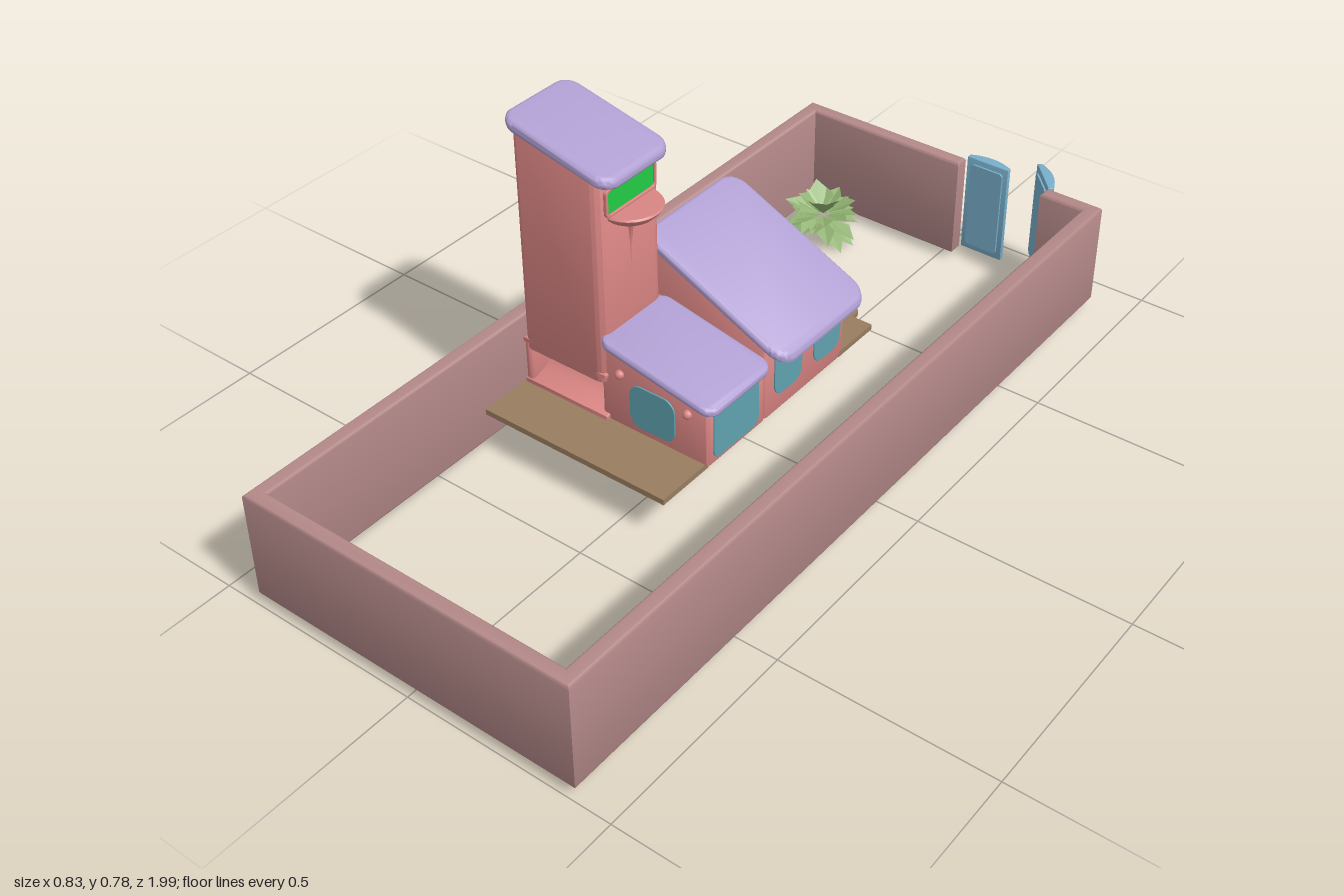
import * as THREE from 'three';
import { toCreasedNormals } from 'three/addons/utils/BufferGeometryUtils.js';

const mat = (name, color, side = THREE.FrontSide) => {
  const m = new THREE.MeshStandardMaterial({ color, side });
  m.name = name;
  return m;
};

export function createModel() {
  const group = new THREE.Group();
  const pink = mat('pink plaster', 0xd98583);
  const brick = mat('dusty wall', 0xb38888);
  const purple = mat('purple roof', 0xb09fd2);
  const blue = mat('blue gate', 0x78aeca);
  const glass = mat('teal glass', 0x5fa3b0);
  const green = mat('green screen', 0x22cc44);
  const wood = mat('wood deck', 0x987d60);
  const leaf = mat('leaf', 0x93b575, THREE.DoubleSide);

  const add = (name, geo, material, x = 0, y = 0, z = 0, ry = 0) => {
    const m = new THREE.Mesh(geo, material);
    m.name = name;
    m.position.set(x, y, z);
    m.rotation.y = ry;
    group.add(m);
    return m;
  };

  const roundRect = (x0, x1, y0, y1, r) => {
    const s = new THREE.Shape();
    s.moveTo(x0 + r, y0);
    s.lineTo(x1 - r, y0);
    s.absarc(x1 - r, y0 + r, r, -Math.PI / 2, 0);
    s.lineTo(x1, y1 - r);
    s.absarc(x1 - r, y1 - r, r, 0, Math.PI / 2);
    s.lineTo(x0 + r, y1);
    s.absarc(x0 + r, y1 - r, r, Math.PI / 2, Math.PI);
    s.lineTo(x0, y0 + r);
    s.absarc(x0 + r, y0 + r, r, Math.PI, Math.PI * 1.5);
    return s;
  };

  // Extrusion with a soft bevel that stays inside the outline
  const extrude = (shape, h, b) => {
    const g = new THREE.ExtrudeGeometry(shape, {
      depth: h - 2 * b, bevelEnabled: b > 0, bevelSize: b, bevelThickness: b,
      bevelOffset: -b, bevelSegments: 3, curveSegments: 8,
    });
    return g.translate(0, 0, b);
  };
  // Plan outlines use (x, -z) and rise along y
  const upright = (shape, y0, y1, b) => extrude(shape, y1 - y0, b).rotateX(-Math.PI / 2).translate(0, y0, 0);
  // Side profiles use (z, y) and run along x
  const sideways = (shape, x0, x1, b) => toCreasedNormals(
    extrude(shape, x1 - x0, b).rotateY(-Math.PI / 2).translate(x1, 0, 0), 0.7);

  // Rounded block; vertices above "from" follow a slope along x, starting at x0
  const block = (x0, x1, z0, z1, y0, y1, r, b, slope = 0, from = -1) => {
    const g = upright(roundRect(x0, x1, -z1, -z0, r), y0, y1, b);
    const p = g.attributes.position;
    for (let i = 0; i < p.count; i++) {
      if (p.getY(i) > from) p.setY(i, p.getY(i) + slope * (p.getX(i) - x0));
    }
    return toCreasedNormals(g, 0.7);
  };

  // Perimeter wall with a gateway at the back
  const wall = new THREE.Shape([
    [0.04, -0.905], [-0.415, -0.905], [-0.415, 0.992], [0.411, 0.992], [0.411, -0.905], [0.265, -0.905],
    [0.265, -0.87], [0.375, -0.87], [0.375, 0.957], [-0.38, 0.957], [-0.38, -0.87], [0.04, -0.87],
  ].map(([x, z]) => new THREE.Vector2(x, -z)));
  add('perimeterWall', toCreasedNormals(upright(wall, 0.02, 0.28, 0.007), 0.7), brick);

  // Gate leaves, bulged outward, with a raised inner panel
  for (const [x, z, ry] of [[0.04, -0.914, 0], [0.192, -0.985, -0.82]]) {
    const s = new THREE.Shape();
    s.moveTo(0, 0);
    s.lineTo(0.112, 0);
    s.lineTo(0.112, 0.012);
    s.quadraticCurveTo(0.056, 0.04, 0, 0.012);
    add('gateLeaf', toCreasedNormals(upright(s, 0.02, 0.28, 0.002), 0.7), blue, x, 0, z, ry);
    const panel = extrude(roundRect(0.012, 0.1, 0.035, 0.265, 0.01), 0.005, 0.001);
    add('gatePanel', panel, blue, x, 0, z, ry);
  }

  // Tower: shaft, notched foot, sloping roof
  add('towerShaft', block(-0.37, -0.138, 0.045, 0.243, 0.21, 0.765, 0.025, 0.002, -0.226, 0.5), pink);
  const foot = new THREE.Shape();
  foot.moveTo(0.045, 0.11);
  foot.lineTo(0.243, 0.11);
  foot.lineTo(0.243, 0.125);
  foot.quadraticCurveTo(0.17, 0.135, 0.165, 0.19);
  foot.quadraticCurveTo(0.17, 0.22, 0.243, 0.225);
  foot.lineTo(0.243, 0.235);
  foot.lineTo(0.045, 0.235);
  add('towerFoot', sideways(foot, -0.37, -0.138, 0.003), pink);
  add('towerFootSide', block(-0.37, -0.35, 0.05, 0.24, 0.11, 0.235, 0.008, 0.003), pink);
  add('towerRoof', block(-0.392, -0.108, 0.036, 0.25, 0.757, 0.785, 0.04, 0.012, -0.226), purple);

  // Rounded ledge flowing out of the tower
  const ledge = [[0.001, 0.46], [0.003, 0.52], [0.007, 0.565], [0.018, 0.583], [0.04, 0.591],
    [0.056, 0.597], [0.068, 0.609], [0.072, 0.616], [0.069, 0.62], [0, 0.62]]
    .map(([r, y]) => new THREE.Vector2(r, y));
  add('towerLedge', toCreasedNormals(new THREE.LatheGeometry(ledge, 24, 0, Math.PI), 0.7), pink, -0.139, 0, 0.145);

  // Rounded link between the tower and the low wing
  const link = new THREE.Shape();
  link.moveTo(0.07, 0.11);
  link.lineTo(-0.1, 0.11);
  link.lineTo(-0.1, 0.34);
  link.quadraticCurveTo(-0.1, 0.42, -0.02, 0.42);
  link.lineTo(0.07, 0.42);
  add('towerLink', sideways(link, -0.37, -0.19, 0.015), pink);

  // Main house
  add('mainHouse', block(-0.18, 0.125, -0.265, 0.035, 0.11, 0.443, 0.012, 0.003, -0.47, 0.28), pink);
  add('mainRoof', block(-0.2, 0.176, -0.282, 0.038, 0.442, 0.468, 0.045, 0.01, -0.47), purple);

  // Front room
  add('frontRoom', block(-0.16, 0.125, 0.03, 0.232, 0.11, 0.322, 0.012, 0.003, -0.2, 0.2), pink);
  add('frontRoof', block(-0.15, 0.15, 0.036, 0.254, 0.315, 0.336, 0.03, 0.008, -0.2), purple);

  // Low wing
  add('lowWing', block(-0.372, -0.185, -0.437, -0.05, 0.11, 0.235, 0.06, 0.01, 0.1, 0.18), pink);
  add('lowWingRoof', block(-0.378, -0.177, -0.452, -0.09, 0.23, 0.25, 0.035, 0.008, 0.1), purple);

  // Decks and step
  add('frontDeck', new THREE.BoxGeometry(0.49, 0.014, 0.15), wood, -0.127, 0.108, 0.296);
  add('backDeck', new THREE.BoxGeometry(0.295, 0.014, 0.13), wood, -0.022, 0.118, -0.312);
  add('backStep', upright(roundRect(-0.02, 0.07, 0.36, 0.415, 0.015), 0.108, 0.121, 0), wood);

  // Thin panes; ry turns them toward their wall
  const pane = (name, w, h, r, x, y, z, ry, material = glass) =>
    add(name, extrude(roundRect(-w / 2, w / 2, -h / 2, h / 2, r), 0.005, 0.001), material, x, y, z, ry);
  const E = Math.PI / 2, N = Math.PI;
  pane('towerScreen', 0.146, 0.054, 0.008, -0.14, 0.653, 0.145, E, green);
  pane('frontSideWindow', 0.155, 0.13, 0.02, 0.123, 0.185, 0.135, E);
  pane('frontWindow', 0.12, 0.11, 0.03, -0.02, 0.185, 0.23, 0);
  pane('mainSideWindow', 0.1, 0.13, 0.03, 0.123, 0.215, -0.05, E);
  pane('mainSideWindow', 0.1, 0.13, 0.03, 0.123, 0.215, -0.195, E);
  pane('roundWindow', 0.056, 0.056, 0.0279, -0.105, 0.345, -0.263, N);
  pane('wingEndWindow', 0.1, 0.045, 0.022, -0.28, 0.2, -0.435, N);
  pane('wingSideWindow', 0.08, 0.05, 0.022, -0.187, 0.2, -0.335, E);
  pane('highSideWindow', 0.13, 0.042, 0.02, -0.178, 0.365, -0.16, -E);
  // Back door in three leaves
  for (const x of [-0.036, -0.002, 0.032]) pane('backDoorLeaf', 0.03, 0.145, 0.004, x, 0.2, -0.263, N, blue);

  // Window frame around the tower screen
  const frame = roundRect(-0.08, 0.08, -0.034, 0.034, 0.012);
  frame.holes.push(roundRect(-0.073, 0.073, -0.027, 0.027, 0.008));
  add('screenFrame', extrude(frame, 0.009, 0.002), pink, -0.14, 0.653, 0.145, E);

  // Wall lamps
  for (const [x, y, z] of [[-0.105, 0.25, 0.235], [0.075, 0.23, 0.235], [-0.085, 0.24, -0.268],
    [0.075, 0.25, -0.268], [-0.135, 0.25, -0.268]]) {
    add('wallLamp', new THREE.SphereGeometry(0.011, 12, 8), pink, x, y, z);
  }

  // Plants: folded blades fanned from a centre
  let seed = 7;
  const rnd = () => (seed = (seed * 16807) % 2147483647) / 2147483647;
  const plant = (name, cx, cy, cz, R, count, minY) => {
    const v = [];
    for (let i = 0; i < count; i++) {
      const a = i * 2.4, tilt = -0.5 + 1.6 * rnd(), len = R * (0.75 + 0.3 * rnd());
      const dir = new THREE.Vector3(Math.cos(a) * Math.cos(tilt), Math.sin(tilt), Math.sin(a) * Math.cos(tilt));
      const side = new THREE.Vector3(-Math.sin(a), 0.4 * (rnd() - 0.5), Math.cos(a)).multiplyScalar(R * 0.22);
      const root = dir.clone().multiplyScalar(len * 0.15);
      const mid = dir.clone().multiplyScalar(len * 0.65);
      const tip = dir.clone().multiplyScalar(len);
      tip.y -= R * 0.12;
      const l = mid.clone().add(side), r = mid.clone().sub(side);
      for (const q of [root, l, tip, root, tip, r]) {
        v.push(THREE.MathUtils.clamp(cx + q.x, -0.376, 1), Math.max(minY, cy + q.y), Math.max(-0.866, cz + q.z));
      }
    }
    const g = new THREE.BufferGeometry();
    g.setAttribute('position', new THREE.Float32BufferAttribute(v, 3));
    g.computeVertexNormals();
    add(name, g, leaf);
  };
  plant('cornerBush', -0.285, 0.055, -0.775, 0.105, 46, 0);
  plant('deckPlant', -0.14, 0.12, -0.4, 0.042, 22, 0.085);

  return group;
}
